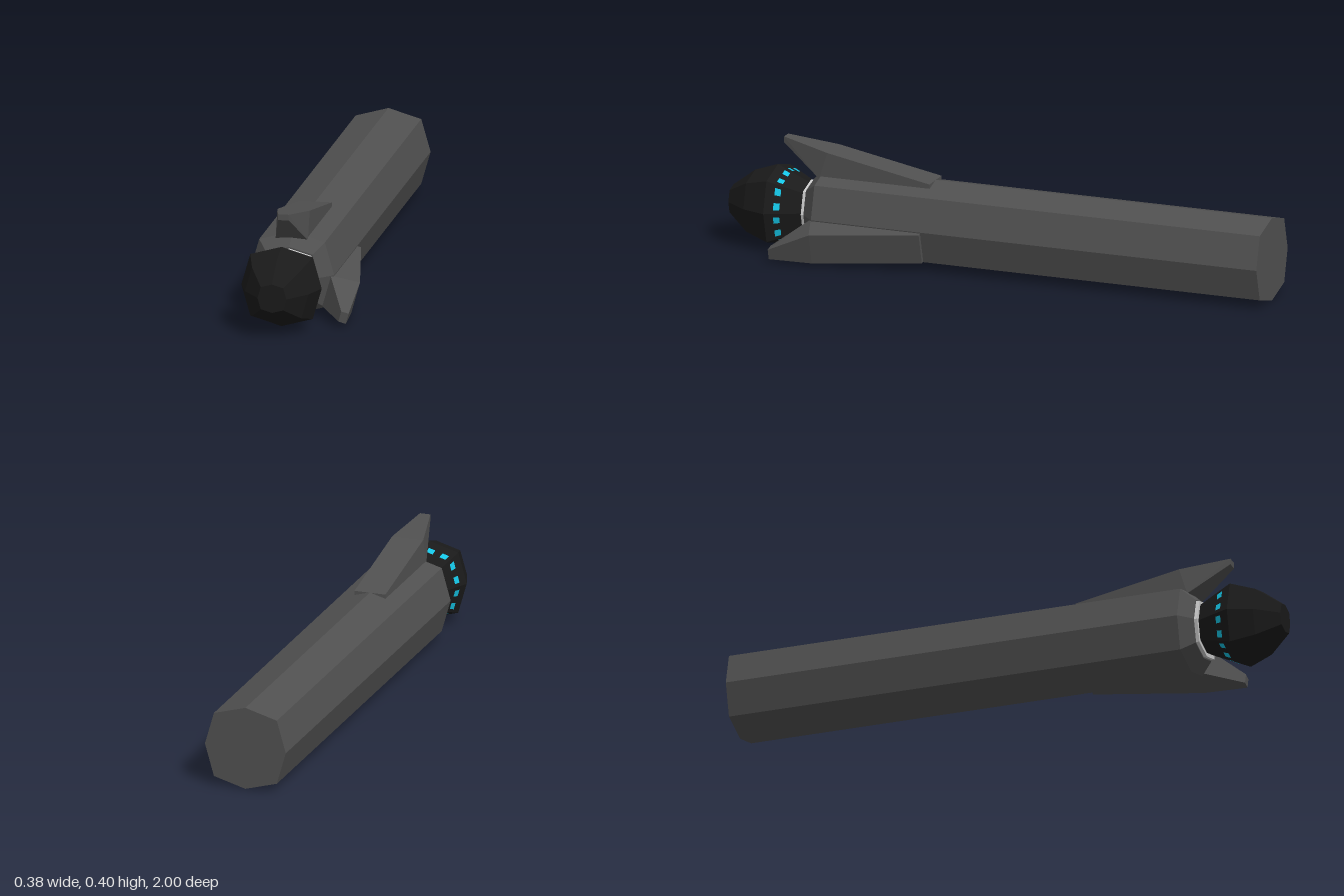
import * as THREE from 'three';
import { ConvexGeometry } from 'three/addons/geometries/ConvexGeometry.js';

const DIAGONAL = 1.1; // diagonal corners of the octagon sit a little further out

const material = (color) => new THREE.MeshStandardMaterial({ color, flatShading: true, side: THREE.DoubleSide });

// Octagonal solid along z from a profile of [radius, z]
function octagonal(name, profile, mat) {
  const geo = new THREE.LatheGeometry(profile.map(([r, z]) => new THREE.Vector2(r, z)), 8);
  geo.rotateX(Math.PI / 2);
  const p = geo.attributes.position;
  for (let i = 0; i < p.count; i++) {
    const x = p.getX(i), y = p.getY(i);
    if (Math.abs(x) > 1e-4 && Math.abs(y) > 1e-4) p.setXY(i, x * DIAGONAL, y * DIAGONAL);
  }
  geo.computeVertexNormals();
  const mesh = new THREE.Mesh(geo, mat);
  mesh.name = name;
  return mesh;
}

// Tapered fin standing on y = 0, with a narrow tip reaching forward
function fin(name, mat, { mid, tipX, tipLow, tipHigh, tipZ }) {
  const pts = [];
  for (const s of [-1, 1]) {
    pts.push(
      new THREE.Vector3(s * 0.057, -0.01, 0.25),
      new THREE.Vector3(s * 0.057, 0.015, 0.25),
      new THREE.Vector3(s * 0.057, mid, 0.63),
      new THREE.Vector3(s * 0.057, -0.01, 0.66),
      new THREE.Vector3(tipX + s * 0.019, tipLow, tipZ),
      new THREE.Vector3(tipX + s * 0.019, tipHigh, tipZ)
    );
  }
  const mesh = new THREE.Mesh(new ConvexGeometry(pts), mat);
  mesh.name = name;
  return mesh;
}

export function createModel() {
  const model = new THREE.Group();
  const body = new THREE.Group();
  body.name = 'body';
  body.position.set(-0.045, 0.15, 0);
  model.add(body);

  const hull = material(0x505050);
  const dark = material(0x1a1a1a);
  const glow = material(0x14c4e4);

  // Long shaft with chamfered front, pale collar and dark head
  body.add(
    octagonal('shaft', [[0, -1], [0.149, -1], [0.149, 0.655], [0.105, 0.7], [0, 0.7]], hull),
    octagonal('collar', [[0, 0.69], [0.1, 0.69], [0.1, 0.712], [0, 0.712]], material(0xcccccc)),
    octagonal('head', [[0, 0.705], [0.083, 0.705], [0.142, 0.835], [0.112, 0.92], [0.051, 1], [0, 1]], dark)
  );

  // Two small lit windows on each rear facet of the head
  const windows = new THREE.Group();
  windows.name = 'windows';
  const corner = (i, z) => {
    const r = (0.083 + (0.059 * (z - 0.705)) / 0.13) * 1.015 * (i % 2 ? DIAGONAL : 1);
    const a = (i * Math.PI) / 4;
    return new THREE.Vector3(r * Math.cos(a), r * Math.sin(a), z);
  };
  for (let i = 0; i < 8; i++) {
    for (const t of [0.25, 0.75]) {
      const quad = [[-0.12, 0.785], [0.12, 0.785], [0.12, 0.805], [-0.12, 0.805]]
        .map(([dt, z]) => corner(i, z).lerp(corner(i + 1, z), t + dt));
      const geo = new THREE.BufferGeometry().setFromPoints(quad);
      geo.setIndex([0, 1, 2, 0, 2, 3]);
      geo.computeVertexNormals();
      const pane = new THREE.Mesh(geo, glow);
      pane.name = 'window';
      windows.add(pane);
    }
  }
  body.add(windows);

  // Upper fin on the top ridge
  const topFin = fin('topFin', hull, { mid: 0.087, tipX: 0, tipLow: 0.096, tipHigh: 0.117, tipZ: 0.805 });
  topFin.position.y = 0.133;

  // Lower left fin on the side facet, its tip swept downward
  const sideFin = fin('sideFin', hull, { mid: 0.092, tipX: 0.033, tipLow: 0.076, tipHigh: 0.103, tipZ: 0.785 });
  sideFin.position.set(0.131, -0.058, 0);
  sideFin.rotation.z = THREE.MathUtils.degToRad(-105.6);
  body.add(topFin, sideFin);

  return model;
}
